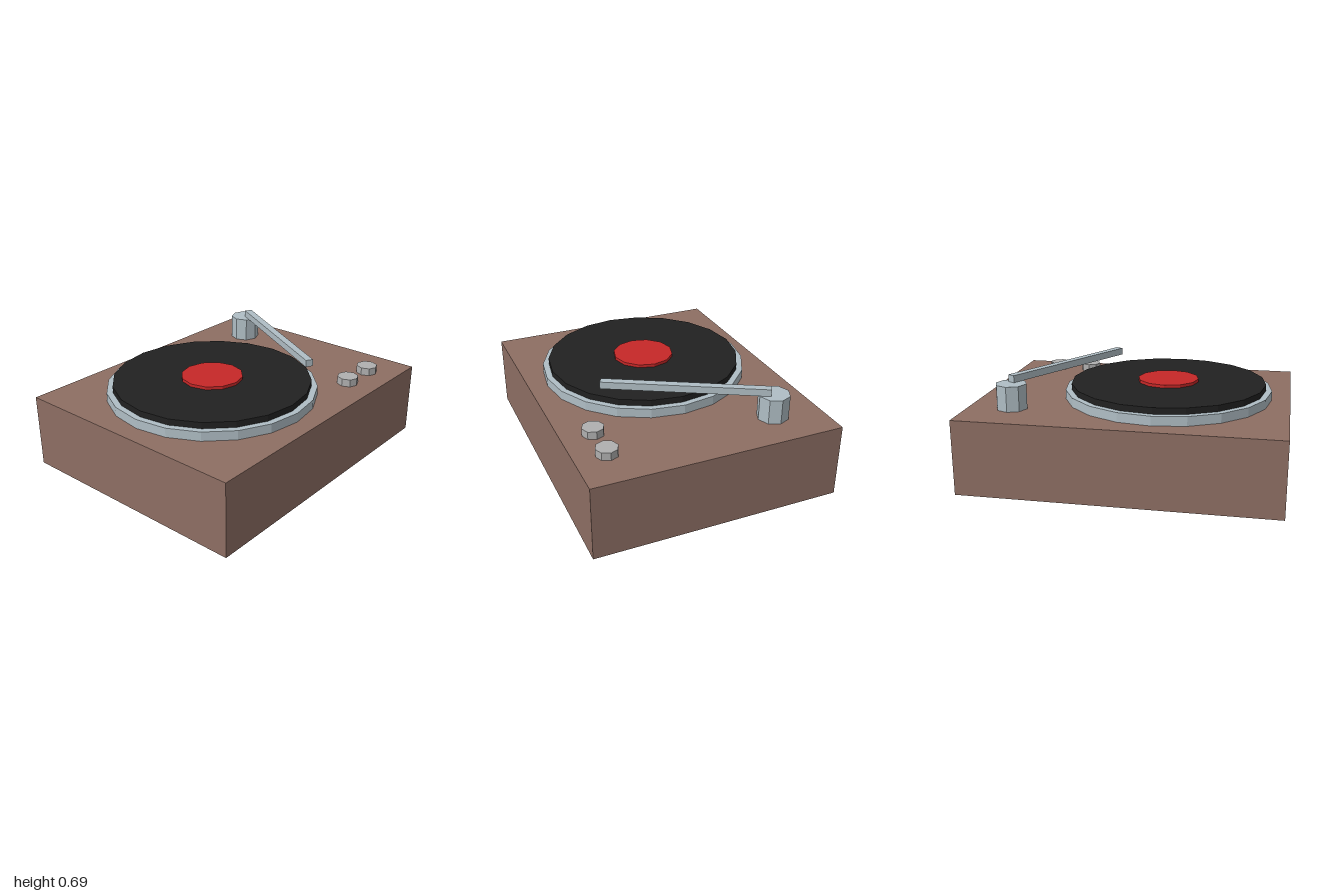
import * as THREE from 'three';

const material = (color) => new THREE.MeshStandardMaterial({ color, flatShading: true });

export function createModel() {
  const model = new THREE.Group();
  model.name = 'recordPlayer';

  const wood = material(0x8d6e63);
  const metal = material(0xb0bec5);
  const vinyl = material(0x212121);
  const red = material(0xc62828);
  const knobGrey = material(0xb0b0b0);

  const add = (name, geometry, mat, x, y, z) => {
    const mesh = new THREE.Mesh(geometry, mat);
    mesh.name = name;
    mesh.position.set(x, y, z);
    model.add(mesh);
    return mesh;
  };
  // Faceted disc standing between two heights
  const disc = (name, radius, sides, bottom, top, mat, x, z) =>
    add(name, new THREE.CylinderGeometry(radius, radius, top - bottom, sides), mat, x, (bottom + top) / 2, z);

  // Cabinet
  add('cabinet', new THREE.BoxGeometry(2, 0.48, 1.6), wood, 0, 0.24, 0);

  // Turntable stack
  disc('platter', 0.68, 20, 0.48, 0.54, metal, -0.2, 0);
  disc('record', 0.64, 20, 0.54, 0.58, vinyl, -0.2, 0);
  disc('recordLabel', 0.2, 12, 0.58, 0.6, red, -0.2, 0);

  // Tone arm on its pivot post
  disc('armPivot', 0.1, 8, 0.48, 0.64, metal, 0.72, -0.48);
  const arm = add('toneArm', new THREE.BoxGeometry(0.05, 0.046, 1.04), metal, 0.478, 0.663, 0.002);
  arm.rotation.y = -0.5;

  // Control knobs
  [['rightKnob', 0.48], ['leftKnob', 0.72]].forEach(([name, x]) =>
    disc(name, 0.07, 8, 0.48, 0.53, knobGrey, x, 0.6));

  return model;
}
